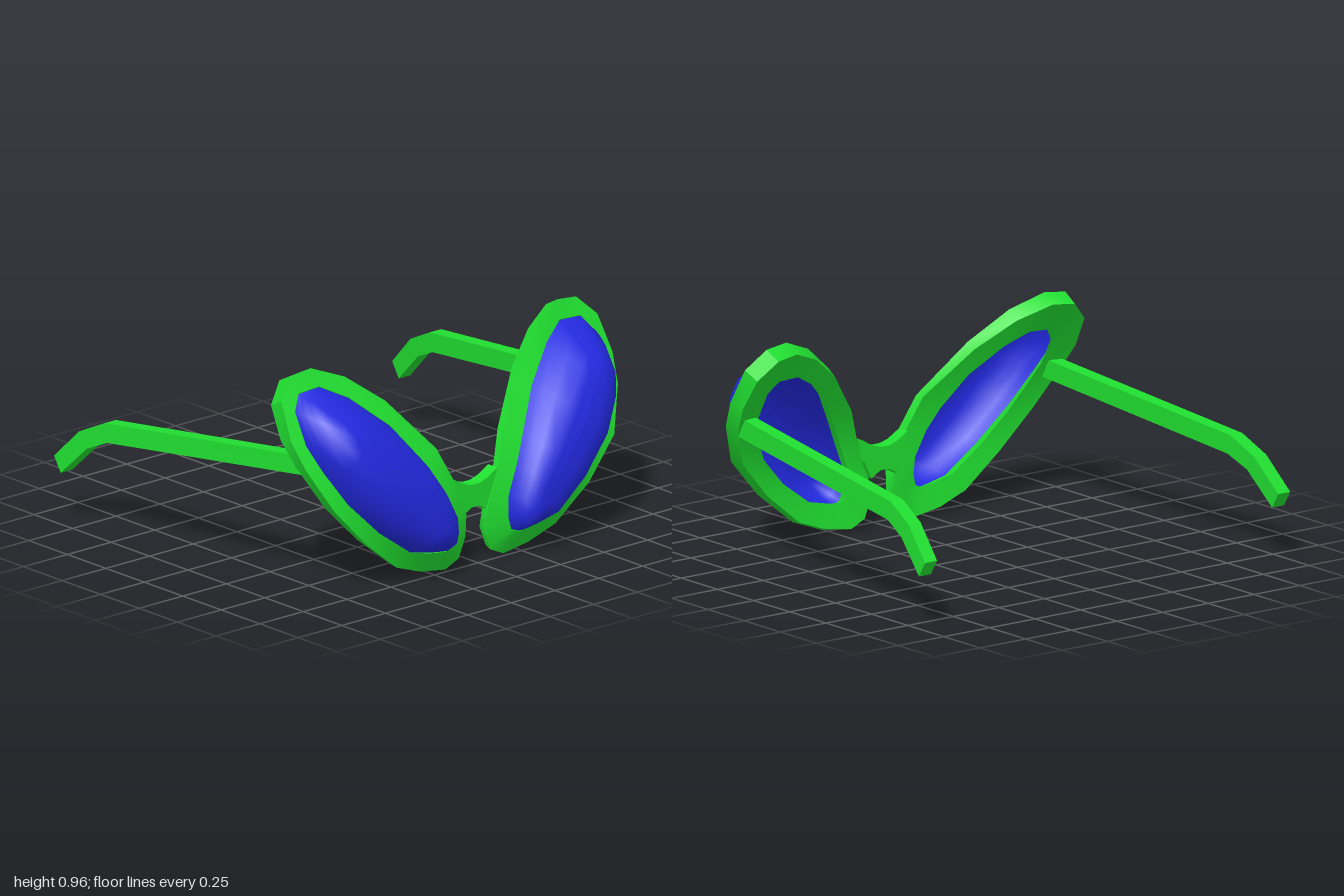
import * as THREE from 'three';
import { toCreasedNormals } from 'three/addons/utils/BufferGeometryUtils.js';

const green = new THREE.MeshStandardMaterial({ color: 0x20dd30 });
const blue = new THREE.MeshStandardMaterial({ color: 0x2228dd, side: THREE.DoubleSide });

// Left rim outlines, matched point for point: outer edge and lens opening
const OUTER = [[.706, .965], [.818, .952], [.904, .866], [.92, .711], [.893, .588], [.8, .4], [.64, .225], [.455, .075],
  [.31, .022], [.166, 0], [.09, .035], [.053, .128], [.06, .23], [.128, .4], [.19, .545], [.38, .775], [.55, .904]];
const INNER = [[.69, .888], [.807, .882], [.856, .818], [.856, .68], [.813, .567], [.727, .417], [.577, .262], [.406, .139],
  [.29, .113], [.21, .102], [.17, .118], [.155, .176], [.16, .267], [.219, .4], [.283, .513], [.406, .684], [.567, .824]];
// Smaller opening at the back of the rim
const BACK_HOLE = INNER.map(([x, y]) => [.32 + (x - .32) * .85, .29 + (y - .29) * .85]);

// Depth by height: swept-back rim front, and the fullest part of the lens
const RIM_Z = [[0, .77], [.1, .775], [.34, .76], [.53, .685], [.7, .593], [.88, .5], [.97, .458]];
const LENS_Z = [[.1, .87], [.18, .875], [.365, .872], [.53, .85], [.75, .75], [.81, .685], [.89, .57]];

function lookup(table, v) {
  let i = 1;
  while (i < table.length - 1 && v > table[i][0]) i++;
  const [a, b] = [table[i - 1], table[i]];
  const t = THREE.MathUtils.clamp((v - a[0]) / (b[0] - a[0]), 0, 1);
  return a[1] + (b[1] - a[1]) * t;
}

// Rim front depth; the upper edge beside the nose twists forward
function rimZ(x, y) {
  const aboveDiagonal = y - (.1 + 1.15 * (x - .1));
  return lookup(RIM_Z, y) + .26 * Math.max(0, aboveDiagonal - .1);
}

// Skin a list of closed rings; loop joins last ring to first, caps closes the ends
function loft(rings, { loop = false, caps = false, orient = true } = {}) {
  const n = rings[0].length, m = rings.length, pts = rings.flat(), index = [];
  for (let r = 0; r < (loop ? m : m - 1); r++) {
    for (let i = 0; i < n; i++) {
      const a = r * n + i, b = r * n + (i + 1) % n;
      const c = ((r + 1) % m) * n + (i + 1) % n, d = ((r + 1) % m) * n + i;
      index.push(a, b, c, a, c, d);
    }
  }
  if (caps) {
    const e = (m - 1) * n;
    for (let i = 1; i < n - 1; i++) index.push(0, i + 1, i, e, e + i, e + i + 1);
  }
  if (orient) {
    // Turn the faces outward, whichever side is being built
    const v = pts.map(p => new THREE.Vector3(...p));
    let volume = 0;
    for (let i = 0; i < index.length; i += 3) {
      volume += v[index[i]].dot(v[index[i + 1]].clone().cross(v[index[i + 2]]));
    }
    if (volume < 0) index.reverse();
  }
  const g = new THREE.BufferGeometry();
  g.setAttribute('position', new THREE.Float32BufferAttribute(pts.flat(), 3));
  g.setIndex(index);
  g.computeVertexNormals();
  return g;
}

function mesh(name, geometry, material) {
  const m = new THREE.Mesh(geometry, material);
  m.name = name;
  return m;
}

// Rim: four-sided section swept round the lens opening
function rim(side) {
  const ring = (list, drop) => list.map(([x, y]) => [side * x, y, rimZ(x, y) - drop(x)]);
  // Front bevel is deepest by the nose and fades towards the temple
  const bevel = x => .045 - .035 * THREE.MathUtils.smoothstep(x, .3, .85);
  // Outer back edge, tucked in and lowered towards the top
  const back = OUTER.map(([x, y]) => {
    const lower = .03 * THREE.MathUtils.smoothstep(y, .55, .9);
    return [side * (.5 + (x - .5) * .98), .5 + (y - .5) * .98 - lower, rimZ(x, y) - .086];
  });
  const rings = [ring(INNER, () => 0), ring(OUTER, bevel), back, ring(BACK_HOLE, () => .07)];
  return toCreasedNormals(loft(rings, { loop: true }), .6);
}

// Lens: domed shell rising from the opening to a slanted ridge
function lens(side) {
  const ridge = new THREE.Line3(new THREE.Vector3(.3, .27, 0), new THREE.Vector3(.65, .68, 0));
  const steps = [[1, 0], [.95, .22], [.88, .44], [.75, .72], [.5, .95], [.25, .99], [0, 1]];
  const rings = steps.map(([s, bulge]) => INNER.map(([x, y]) => {
    const p = new THREE.Vector3(x, y, 0);
    const q = ridge.closestPointToPoint(p, true, new THREE.Vector3()).lerp(p, s);
    const base = rimZ(q.x, q.y) - .01;
    return [side * q.x, q.y, base + (lookup(LENS_Z, q.y) - base) * bulge];
  }));
  if (side > 0) rings.reverse();
  return loft(rings, { orient: false });
}

// Temple arm: [centre x, top z, top y, bottom z, bottom y] at each section
function arm(side) {
  const sections = [[.835, .55, .63, .6, .55], [.93, -.585, .51, -.565, .425],
    [.947, -.73, .44, -.68, .374], [.967, -.87, .3, -.827, .232]];
  const w = .033;
  const rings = sections.map(([x, tz, ty, bz, by]) => [
    [side * (x - w), ty, tz], [side * (x + w), ty, tz], [side * (x + w), by, bz], [side * (x - w), by, bz]]);
  return toCreasedNormals(loft(rings, { caps: true }), .3);
}

// Bridge: waisted bar between the rims
function bridge() {
  const half = [[.022, .352], [.065, .365], [.125, .4], [.11, .3], [.07, .22], [.05, .235], [.02, .25]];
  const outline = [...half, ...half.map(([x, y]) => [-x, y]).reverse()];
  const shape = new THREE.Shape(outline.map(p => new THREE.Vector2(...p)));
  return new THREE.ExtrudeGeometry(shape, { depth: .06, bevelEnabled: false }).translate(0, 0, .672);
}

export function createModel() {
  const model = new THREE.Group();
  model.name = 'sunglasses';
  for (const [label, side] of [['left', 1], ['right', -1]]) {
    model.add(
      mesh(label + 'Rim', rim(side), green),
      mesh(label + 'Lens', lens(side), blue),
      mesh(label + 'Arm', arm(side), green));
  }
  model.add(mesh('bridge', bridge(), green));
  return model;
}
